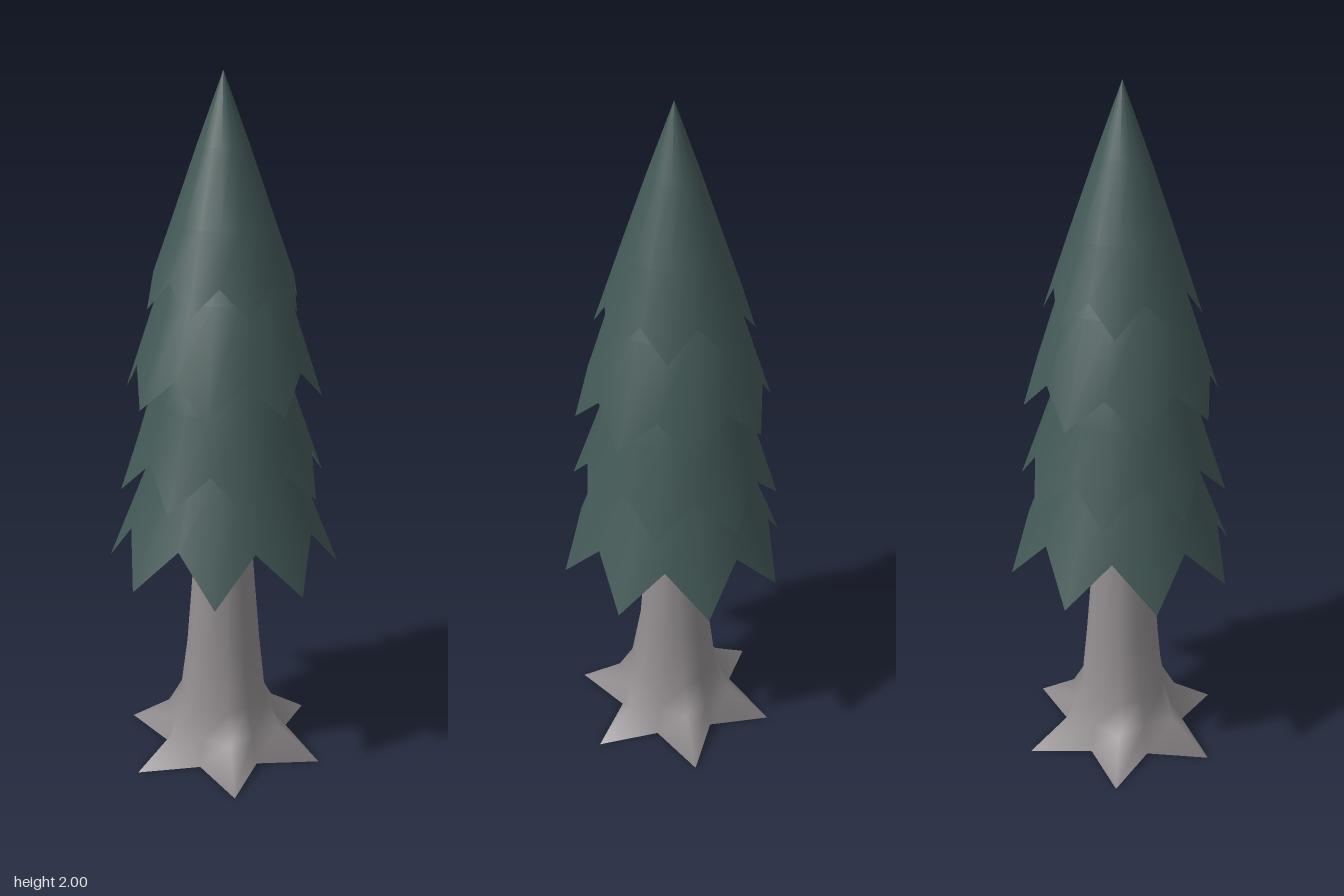
import * as THREE from 'three';

// Skin stacked rings, bottom to top. Each ring is [tipRadius, tipY, valleyRadius, valleyY],
// alternating tip and valley around the axis.
function loft(rings, points, offsetDeg) {
  const n = points * 2;
  const pos = [], idx = [];
  for (const [tr, ty, vr = tr, vy = ty] of rings) {
    for (let i = 0; i < n; i++) {
      const a = THREE.MathUtils.degToRad(offsetDeg) + (i / n) * Math.PI * 2;
      const r = i % 2 ? vr : tr;
      pos.push(Math.sin(a) * r, i % 2 ? vy : ty, Math.cos(a) * r);
    }
  }
  for (let j = 0; j < rings.length - 1; j++) {
    for (let i = 0; i < n; i++) {
      const k = (i + 1) % n;
      const a = j * n + i, b = j * n + k, c = a + n, d = b + n;
      idx.push(a, b, d, a, d, c);
    }
  }
  const g = new THREE.BufferGeometry();
  g.setAttribute('position', new THREE.Float32BufferAttribute(pos, 3));
  g.setIndex(idx);
  g.computeVertexNormals();
  return g;
}

export function createModel() {
  const tree = new THREE.Group();
  tree.name = 'pineTree';

  const needles = new THREE.MeshStandardMaterial({ color: 0x425856, side: THREE.DoubleSide });
  needles.name = 'needleGreen';
  const bark = new THREE.MeshStandardMaterial({ color: 0x938e90 });
  bark.name = 'barkGrey';

  const add = (name, geometry, material) => {
    const mesh = new THREE.Mesh(geometry, material);
    mesh.name = name;
    tree.add(mesh);
  };

  // Trunk flaring into six pointed roots
  add('trunk', loft([
    [0.312, 0, 0.17, 0],
    [0.185, 0.09, 0.15, 0.09],
    [0.14, 0.17, 0.125, 0.17],
    [0.108, 0.35],
    [0.082, 0.68],
    [0.07, 1.0],
  ], 6, 0), bark);

  // Flat underside of the roots
  add('rootBase', loft([[0, 0], [0.312, 0, 0.17, 0]], 6, 0), bark);

  // Overlapping eight-pointed skirts of branches, from the lowest up
  const tiers = [
    { turn: 5, rings: [[0.333, 0.615, 0.275, 0.75], [0.2, 0.95], [0.15, 1.1], [0, 1.35]] },
    { turn: 23.5, rings: [[0.297, 0.865, 0.25, 0.97], [0.205, 1.12], [0.16, 1.28], [0, 1.55]] },
    { turn: 0, rings: [[0.277, 1.13, 0.243, 1.225], [0.18, 1.42], [0, 1.75]] },
    { turn: 28.5, rings: [[0.217, 1.385, 0.19, 1.47], [0.14, 1.61], [0.07, 1.81], [0, 2]] },
  ];
  tiers.forEach(({ turn, rings }, i) => add(`branchTier${i + 1}`, loft(rings, 8, turn), needles));

  return tree;
}
